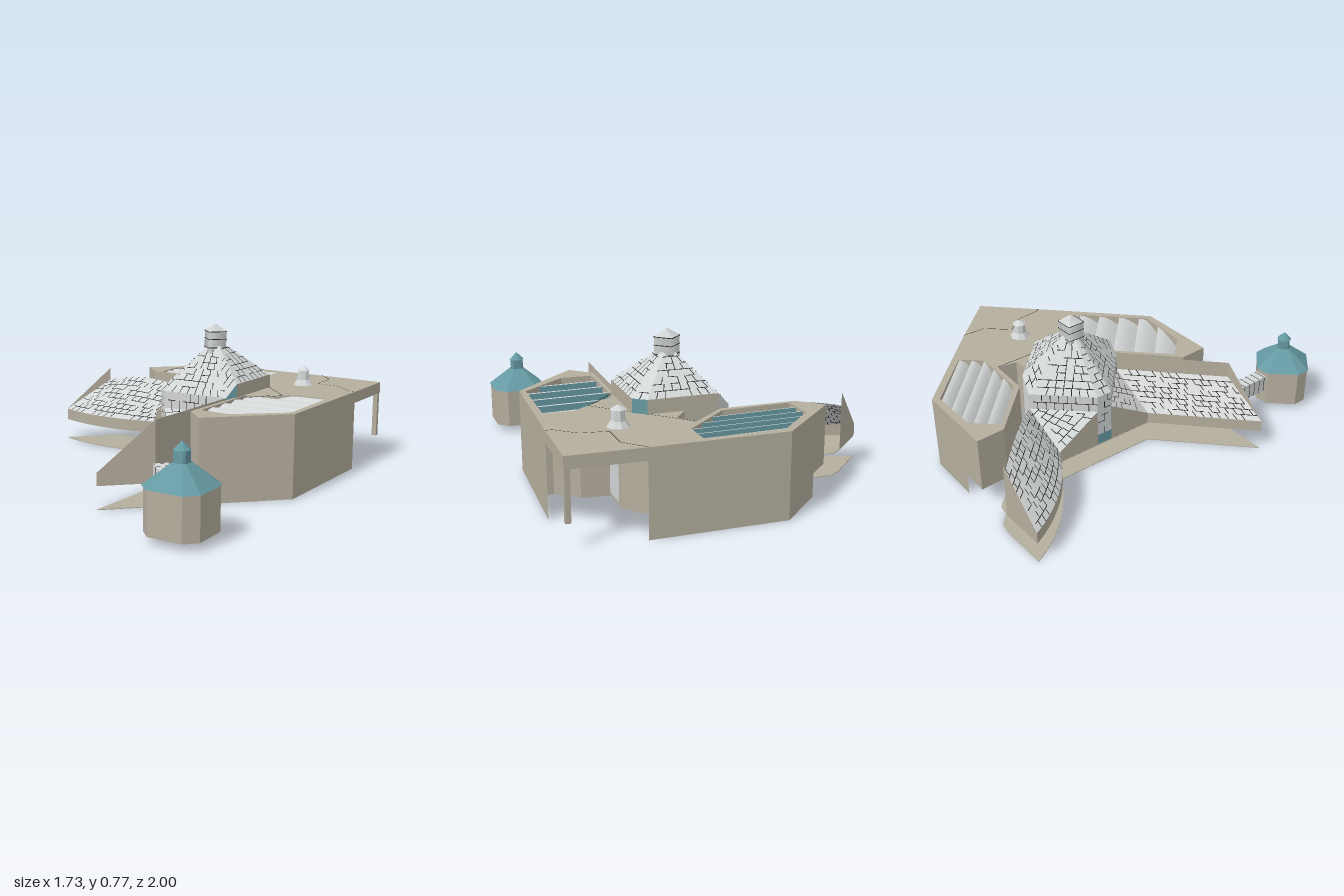
import * as THREE from 'three';
import { mergeGeometries } from 'three/addons/utils/BufferGeometryUtils.js';

const V = (x, y, z) => new THREE.Vector3(x, y, z);
const mat = (name, color) => new THREE.MeshStandardMaterial({ name, color, side: THREE.DoubleSide });

export function createModel() {
  const group = new THREE.Group();
  const stone = mat('stone', 0xb5ae9e), teal = mat('teal', 0x669aa3);
  const shingle = mat('pale shingle', 0xd3d6d6), joint = mat('dark joint', 0x2a2a2a);
  const joints = [];

  const add = (name, geometry, material) => {
    const mesh = new THREE.Mesh(geometry, material);
    mesh.name = name;
    group.add(mesh);
    return mesh;
  };

  // Surface from a rule f(u, v)
  const surface = (f, nu = 1, nv = 1) => {
    const pos = [], idx = [];
    for (let j = 0; j <= nv; j++) for (let i = 0; i <= nu; i++) pos.push(...f(i / nu, j / nv).toArray());
    for (let j = 0; j < nv; j++) for (let i = 0; i < nu; i++) {
      const a = j * (nu + 1) + i, b = a + 1, c = a + nu + 1, d = c + 1;
      idx.push(a, b, d, a, d, c);
    }
    const g = new THREE.BufferGeometry();
    g.setAttribute('position', new THREE.Float32BufferAttribute(pos, 3));
    g.setIndex(idx);
    g.computeVertexNormals();
    return g;
  };
  const quad = (a, b, c, d) => (u, v) => a.clone().lerp(b, u).lerp(d.clone().lerp(c, u), v);

  // Upright wall through points [x, z, bottom, top]
  const wall = (name, pts, material) => {
    const parts = pts.slice(1).map((q, i) => {
      const p = pts[i];
      return surface(quad(V(p[0], p[2], p[1]), V(q[0], q[2], q[1]), V(q[0], q[3], q[1]), V(p[0], p[3], p[1])));
    });
    return add(name, mergeGeometries(parts), material);
  };

  // Flat plan [x, z] raised from y0 to y1
  const prism = (name, pts, y0, y1, material, holes = []) => {
    const flip = (list) => list.map(([x, z]) => new THREE.Vector2(x, -z));
    const shape = new THREE.Shape(flip(pts));
    holes.forEach((h) => shape.holes.push(new THREE.Path(flip(h))));
    const g = new THREE.ExtrudeGeometry(shape, { depth: y1 - y0, bevelEnabled: false });
    return add(name, g.rotateX(-Math.PI / 2).translate(0, y0, 0), material);
  };

  // Narrow dark strip between two points of a surface, on both faces
  const strip = (a, b, n, w = 0.002) => {
    const s = b.clone().sub(a).cross(n).setLength(w);
    for (const k of [-0.002, 0.002]) {
      const o = n.clone().multiplyScalar(k), p = a.clone().add(o), q = b.clone().add(o);
      joints.push(surface(quad(p.clone().sub(s), q.clone().sub(s), q.clone().add(s), p.clone().add(s))));
    }
  };

  // Roof face with broken shingle courses
  let seed = 7;
  const rand = () => (seed = (seed * 16807) % 2147483647) / 2147483647;
  const roof = (name, f, nu = 1, nv = 1) => {
    add(name, surface(f, nu, nv), shingle);
    const rows = Math.max(2, Math.round(f(0.5, 0).distanceTo(f(0.5, 1)) / 0.04));
    for (let j = 0; j < rows; j++) {
      const v = j / rows, v1 = (j + 1) / rows;
      const cols = Math.round(f(0, v).distanceTo(f(1, v)) / 0.045);
      for (let i = 0; i < cols; i++) {
        const u = (i + (j % 2) * 0.5) / cols, u1 = Math.min(1, u + 1 / cols);
        const a = f(u, v), b = f(u1, v), c = f(u, v1);
        const n = b.clone().sub(a).cross(c.clone().sub(a)).normalize();
        if (j && rand() > 0.35) strip(a, b, n);
        if (i && rand() > 0.2) strip(a, c, n);
      }
    }
  };

  // Main block: raised body, roof slab over the corner terrace, skirt walls
  const inner = [[0.82, 0.07], [0.48, 0.39], [0.37, 0.28], [0.39, -0.13], [0.37, -0.5], [0.17, -0.55],
    [0.24, -0.63], [0.18, -0.72], [0, -0.57], [-0.39, -0.58], [-0.5, -0.69], [-0.16, -1]];
  const recess = [[0.5, -0.98], [0.59, -0.88], [0.59, -0.72], [0.72, -0.7], [0.82, -0.61], [0.85, -0.61]];
  const lights = [
    [[0.41, -0.19], [0.65, -0.36], [0.8, -0.35], [0.79, 0.05], [0.56, 0.24], [0.4, 0.23]],
    [[-0.35, -0.77], [-0.15, -0.96], [0.24, -0.95], [0.24, -0.81], [0, -0.6], [-0.35, -0.6]],
  ];
  prism('mainBody', [...inner, ...recess], 0.12, 0.36, stone);
  prism('mainRoof', [...inner, [0.5, -0.98], [0.86, -0.96], [0.85, -0.61]], 0.36, 0.42, stone, lights);
  wall('backSkirt', [[-0.39, -0.79, 0, 0.12], [-0.16, -1, 0, 0.12], [0.5, -0.98, 0, 0.12]], stone);
  wall('sideSkirt', [[0.85, -0.61, 0, 0.12], [0.82, 0.07, 0, 0.12], [0.48, 0.39, 0, 0.12]], stone);
  add('terraceColumn', new THREE.BoxGeometry(0.025, 0.3, 0.025).translate(0.845, 0.27, -0.945), stone);
  wall('terraceGlazing', [[0.594, -0.86, 0.14, 0.34], [0.594, -0.73, 0.14, 0.34]], shingle);

  // Roof seams
  const up = V(0, 1, 0);
  const seam = (pts) => pts.slice(1).forEach((q, i) =>
    strip(V(pts[i][0], 0.42, pts[i][1]), V(q[0], 0.42, q[1]), up));
  seam(recess);
  seam([[0.18, -0.72], [0.57, -0.31], [0.4, -0.14]]);

  // Sawtooth skylights, clipped to their roof openings
  const span = (poly, z) => {
    const xs = [];
    poly.forEach((p, i) => {
      const q = poly[(i + 1) % poly.length];
      if ((z - p[1]) * (z - q[1]) <= 0 && p[1] !== q[1]) xs.push(p[0] + (q[0] - p[0]) * (z - p[1]) / (q[1] - p[1]));
    });
    return [Math.min(...xs), Math.max(...xs)];
  };
  lights.forEach((poly) => {
    const zs = poly.map((p) => p[1]), zA = Math.min(...zs) + 0.012, zB = Math.max(...zs) - 0.002, step = (zB - zA) / 5;
    for (let k = 0; k < 5; k++) {
      const z0 = zA + k * step, [xa, xb] = span(poly, z0);
      add('skylightVault', surface((u, v) => {
        const z = z0 + v * step, [a, b] = span(poly, z);
        return V(a + (b - a) * u, 0.364 + 0.052 * Math.cos(v * Math.PI / 2), z);
      }, 1, 6), shingle);
      wall('skylightGlass', [[xa, z0, 0.362, 0.416], [xb, z0, 0.362, 0.416]], teal);
    }
  });

  // Central hall: eave points around a faceted roof
  const A = [-0.24, -0.33], D = [0.16, 0.1];
  const N3 = V(-0.07, 0.42, -0.51), B = V(-0.07, 0.42, -0.15), C = V(-0.01, 0.42, -0.085), S = V(0.36, 0.42, -0.09);
  const S2 = V(0.4, 0.49, -0.13), E = V(0.41, 0.49, -0.49), N2 = V(0.35, 0.49, -0.54), N = V(0, 0.49, -0.55);
  const eaves = [N3, B, C, S, S2, E, N2, N], apex = V(0.17, 0.69, -0.31);
  eaves.forEach((p, i) => roof('hallRoof', quad(p, eaves[(i + 1) % 8], apex, apex)));
  const drop = (p, y) => V(p.x, y, p.z);
  const under = (p, q, material) => wall('hallWall', [[p.x, p.z, 0.12, p.y], [q.x, q.z, 0.12, q.y]], material);
  under(S, S2, teal);
  under(S2, E, stone);
  under(E, N2, teal);
  under(N2, N, stone);
  under(N, N3, shingle);
  roof('leftEaveStep', quad(drop(N3, 0.33), drop(B, 0.33), B, N3));
  roof('rightEaveStep', quad(drop(C, 0.33), drop(S, 0.33), S, C));
  roof('leftLowRoof', quad(V(A[0], 0.18, A[1]), drop(B, 0.33), drop(N3, 0.33), drop(N3, 0.33)));
  roof('rightLowRoof', quad(V(D[0], 0.18, D[1]), drop(C, 0.33), drop(S, 0.33), drop(S, 0.33)));

  // Entrance front
  wall('frontWallLeft', [[...A, 0.12, 0.18], [B.x, B.z, 0.12, 0.33]], stone);
  wall('frontWallRight', [[C.x, C.z, 0.12, 0.33], [...D, 0.12, 0.18]], stone);
  wall('door', [[B.x, B.z, 0.12, 0.18], [C.x, C.z, 0.12, 0.18]], teal);
  roof('entrancePanel', quad(drop(B, 0.18), drop(C, 0.18), C, B));

  // Curved wing
  const curve = new THREE.QuadraticBezierCurve3(V(-0.87, 0.18, -0.35), V(-0.56, 0.18, -0.235), V(A[0], 0.18, A[1]));
  roof('curvedWingRoof', (u, v) => {
    const top = V(-0.68 + 0.61 * u, 0.35 - 0.02 * u + 0.19 * u * (1 - u), -0.53 + 0.02 * u);
    return curve.getPoint(u).lerp(top, v);
  }, 20, 6);
  const arc = curve.getPoints(16).map((p) => [p.x, p.z]);
  wall('curvedWingFront', arc.map((p) => [...p, 0.12, 0.18]), stone);
  wall('curvedWingFin', [[-0.87, -0.35, 0.12, 0.18], [-0.68, -0.53, 0.12, 0.42]], stone);

  // Straight wing
  roof('straightWingRoof', quad(V(D[0], 0.18, D[1]), V(0.13, 0.18, 0.72), V(0.33, 0.33, 0.53), drop(S, 0.33)));
  wall('straightWingWalls', [[...D, 0.12, 0.18], [0.13, 0.72, 0.12, 0.18], [0.33, 0.53, 0.12, 0.42],
    [S.x, S.z, 0.12, 0.42]], stone);

  // Wing floor and ground slab
  const front = [...arc, D, [0.13, 0.72], [0.33, 0.53]];
  const rear = [[0, -0.55], [-0.62, -0.57], [-0.68, -0.53]];
  prism('wingFloor', [...front, [0.36, -0.09], [0.4, -0.13], [0.41, -0.49], [0.35, -0.54], ...rear], 0.116, 0.12, stone);
  prism('groundSlab', [...front, [0.39, -0.13], [0.54, -0.3], [0.26, -0.61], [0.17, -0.55], ...rear], 0, 0.004, stone);

  // Chimney, its edges turned to the front
  add('chimney', new THREE.CylinderGeometry(0.066, 0.066, 0.2, 4).toNonIndexed().translate(0.17, 0.63, -0.31), shingle);
  add('chimneyCap', new THREE.ConeGeometry(0.068, 0.04, 4).translate(0.17, 0.75, -0.31), shingle);
  for (let k = 0; k < 4; k++) {
    const at = (a, y) => V(0.17 + 0.067 * Math.sin(a), y, -0.31 + 0.067 * Math.cos(a));
    const a = k * Math.PI / 2, n = V(Math.sin(a + Math.PI / 4), 0, Math.cos(a + Math.PI / 4));
    for (const y of [0.6, 0.645, 0.69, 0.73]) strip(at(a, y), at(a + Math.PI / 2, y), n);
  }

  // Roof vent
  const flat = (g) => { const h = g.toNonIndexed(); h.computeVertexNormals(); return h; };
  const vent = [[0.055, 0.42], [0.035, 0.45], [0.031, 0.5], [0.038, 0.5], [0, 0.522]].map((p) => new THREE.Vector2(...p));
  add('roofVent', flat(new THREE.LatheGeometry(vent, 8)).translate(0.53, 0, -0.66), shingle);

  // Garden tower with chamfered corners and a lantern
  const ring = (r, c) => [[-r, c], [-c, r], [c, r], [r, c], [r, -c], [c, -r], [-c, -r], [-r, -c]]
    .map(([x, z]) => [0.67 + x, 0.85 + z]);
  prism('towerBody', ring(0.14, 0.085), 0.035, 0.24, stone);
  const low = ring(0.146, 0.09), high = ring(0.034, 0.024);
  add('towerRoof', mergeGeometries(low.map((p, i) => {
    const j = (i + 1) % 8, at = (q, y) => V(q[0], y, q[1]);
    return surface(quad(at(p, 0.24), at(low[j], 0.24), at(high[j], 0.34), at(high[i], 0.34)));
  })), teal);
  prism('towerLantern', ring(0.031, 0.022), 0.33, 0.395, teal);
  add('lanternCap', flat(new THREE.ConeGeometry(0.04, 0.04, 8)).translate(0.67, 0.413, 0.85), teal);

  // Footbridge from the straight wing to the tower
  const bridge = add('footbridge', new THREE.BoxGeometry(0.32, 0.09, 0.075), shingle);
  bridge.position.set(0.458, 0.165, 0.62);
  bridge.rotation.y = -Math.PI / 4;
  const side = V(0.7071, 0, -0.7071);
  for (let k = 0; k < 8; k++) {
    const c = V(0.36 + k * 0.028, 0.165, 0.522 + k * 0.028);
    const l = c.clone().addScaledVector(side, 0.0375), r = c.clone().addScaledVector(side, -0.0375);
    strip(drop(l, 0.21), drop(r, 0.21), up);
    for (const p of [l, r]) strip(drop(p, 0.12), drop(p, 0.21), side);
  }

  add('shingleJoints', mergeGeometries(joints), joint);
  return group;
}
